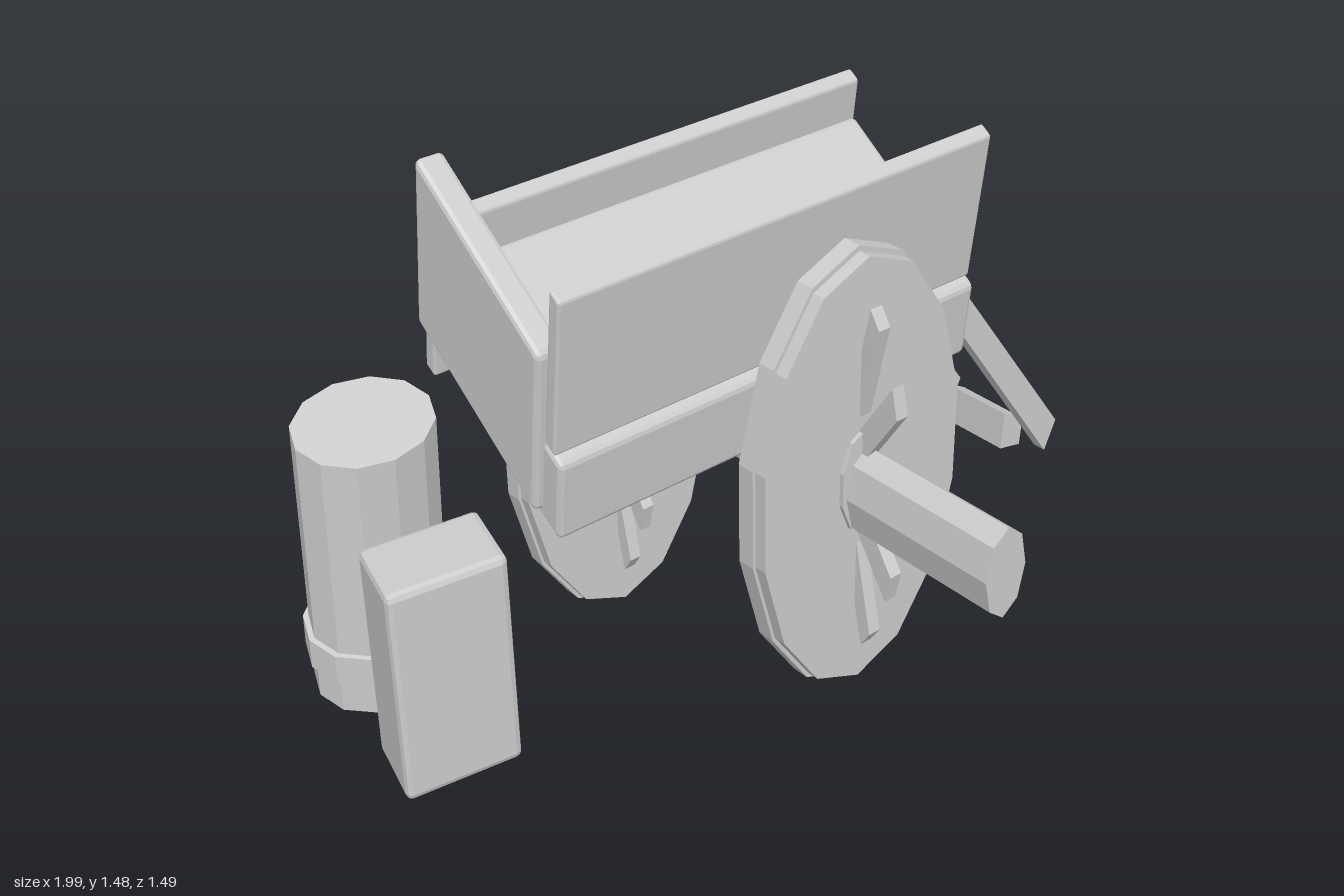
import * as THREE from 'three';
import { RoundedBoxGeometry } from 'three/addons/geometries/RoundedBoxGeometry.js';

export function createModel() {
  const cart = new THREE.Group();
  cart.name = 'cart';
  const grey = new THREE.MeshStandardMaterial({ color: 0xcccccc });
  grey.name = 'plain grey';
  grey.flatShading = true;

  function add(name, geometry, parent = cart) {
    const mesh = new THREE.Mesh(geometry, grey);
    mesh.name = name;
    parent.add(mesh);
    return mesh;
  }

  // Matrix from three (possibly skewed) axis directions and a centre
  function skew(x, y, z, centre) {
    return new THREE.Matrix4().makeBasis(x, y, z).setPosition(...centre);
  }

  // Skewed, bevelled box given by its three full edge vectors
  function block(name, centre, ex, ey, ez, bevel = 0.012) {
    const e = [ex, ey, ez].map((a) => new THREE.Vector3(...a));
    const [w, h, d] = e.map((v) => v.length());
    const g = new RoundedBoxGeometry(w, h, d, 1, bevel);
    e.forEach((v) => v.normalize());
    add(name, g.applyMatrix4(skew(e[0], e[1], e[2], centre)));
  }

  // Flat outline in x/y, extruded from z0 to z1
  function slab(name, points, z0, z1) {
    const shape = new THREE.Shape(points.map((p) => new THREE.Vector2(...p)));
    const g = new THREE.ExtrudeGeometry(shape, { depth: z1 - z0, bevelEnabled: false });
    add(name, g.translate(0, 0, z0));
  }

  // Tilted bed with side boards and end board
  block('bedFloor', [-0.003, 0.996, -0.135], [1.186, 0, 0], [0, 0.19, 0.02], [0, -0.287, 0.41]);
  for (const [name, z] of [['frontBoard', 0.068], ['rearBoard', -0.355]]) {
    block(name, [-0.003, 1.155, z], [1.186, 0, 0], [0, 0.365, 0.045], [0, -0.02, 0.03], 0.006);
  }
  block('endBoard', [-0.584, 1.15, -0.16], [0.068, 0, 0], [0, 0.385, 0.045], [0, -0.29, 0.385]);

  // Squashed wheels: solid disc, raised rim behind, spokes fanning through the disc
  const sides = 14;
  function circle(r, Type) {
    const points = [];
    for (let i = 0; i < sides; i++) {
      const a = (i / sides) * Math.PI * 2;
      points.push(new THREE.Vector2(Math.sin(a) * r, Math.cos(a) * r));
    }
    return new Type(points);
  }
  function wheel(name, y, z) {
    const group = new THREE.Group();
    group.name = name;
    group.position.set(0, y, z);
    group.scale.x = 0.54;
    cart.add(group);

    const rim = circle(0.537, THREE.Shape);
    rim.holes.push(circle(0.46, THREE.Path));
    add('rim', new THREE.ExtrudeGeometry(rim, { depth: 0.043, bevelEnabled: false }).translate(0, 0, -0.022), group);
    add('disc', new THREE.CylinderGeometry(0.524, 0.524, 0.032, sides).rotateX(Math.PI / 2).translate(0, 0, 0.036), group);
    add('hub', new THREE.CylinderGeometry(0.132, 0.132, 0.042, 10).rotateX(Math.PI / 2).translate(0, 0, 0.041), group);
    for (let i = 0; i < 6; i++) {
      const spoke = new THREE.BoxGeometry(0.058, 0.92, 0.08);
      spoke.rotateX((i * Math.PI) / 6).scale(1, 1, 0.38);
      add('spoke', spoke, group);
    }
  }
  wheel('frontWheel', 0.792, 0.283);
  wheel('rearWheel', 0.541, -0.567);

  // Axle through the front wheel
  add('axle', new THREE.CylinderGeometry(0.11, 0.11, 0.892, 8)
    .rotateX(Math.PI / 2).scale(0.52, 1, 1).translate(0, 0.767, 0.301));

  // Pulling shafts and crossbar
  slab('frontShaft', [[0.57, 0.97], [0.57, 0.855], [0.965, 0.31], [1.0, 0.387]], -0.02, 0.015);
  slab('rearShaft', [[0.53, 0.97], [0.53, 0.86], [0.9, 0.34], [0.935, 0.415]], -0.295, -0.262);
  slab('crossbar', [[0.862, 0.435], [0.855, 0.335], [0.925, 0.32], [0.932, 0.395]], -0.245, -0.037);

  // Crates standing around the cart
  block('rightCrate', [-0.835, 0.53, -0.04], [0.267, 0, 0.037], [0, 0.52, 0], [-0.053, 0, 0.187], 0.015);
  block('largeLeftCrate', [0.775, 0.517, -0.42], [0.262, 0, 0.027], [0, 0.495, 0], [-0.03, 0, 0.18], 0.015);
  block('smallLeftCrate', [0.6, 0.477, -0.465], [0.21, 0, 0.02], [0, 0.415, 0], [-0.03, 0, 0.15], 0.015);

  // Leaning barrel with a band near its foot
  const lean = skew(
    new THREE.Vector3(0.163, 0, 0), new THREE.Vector3(0, 1, 0.055),
    new THREE.Vector3(0, -0.04, 0.114), [-0.777, 0.597, -0.38]);
  add('barrel', new THREE.CylinderGeometry(1, 1, 0.658, 12).applyMatrix4(lean));
  add('barrelBand', new THREE.CylinderGeometry(1.08, 1.08, 0.075, 12).translate(0, -0.205, 0).applyMatrix4(lean));

  return cart;
}
